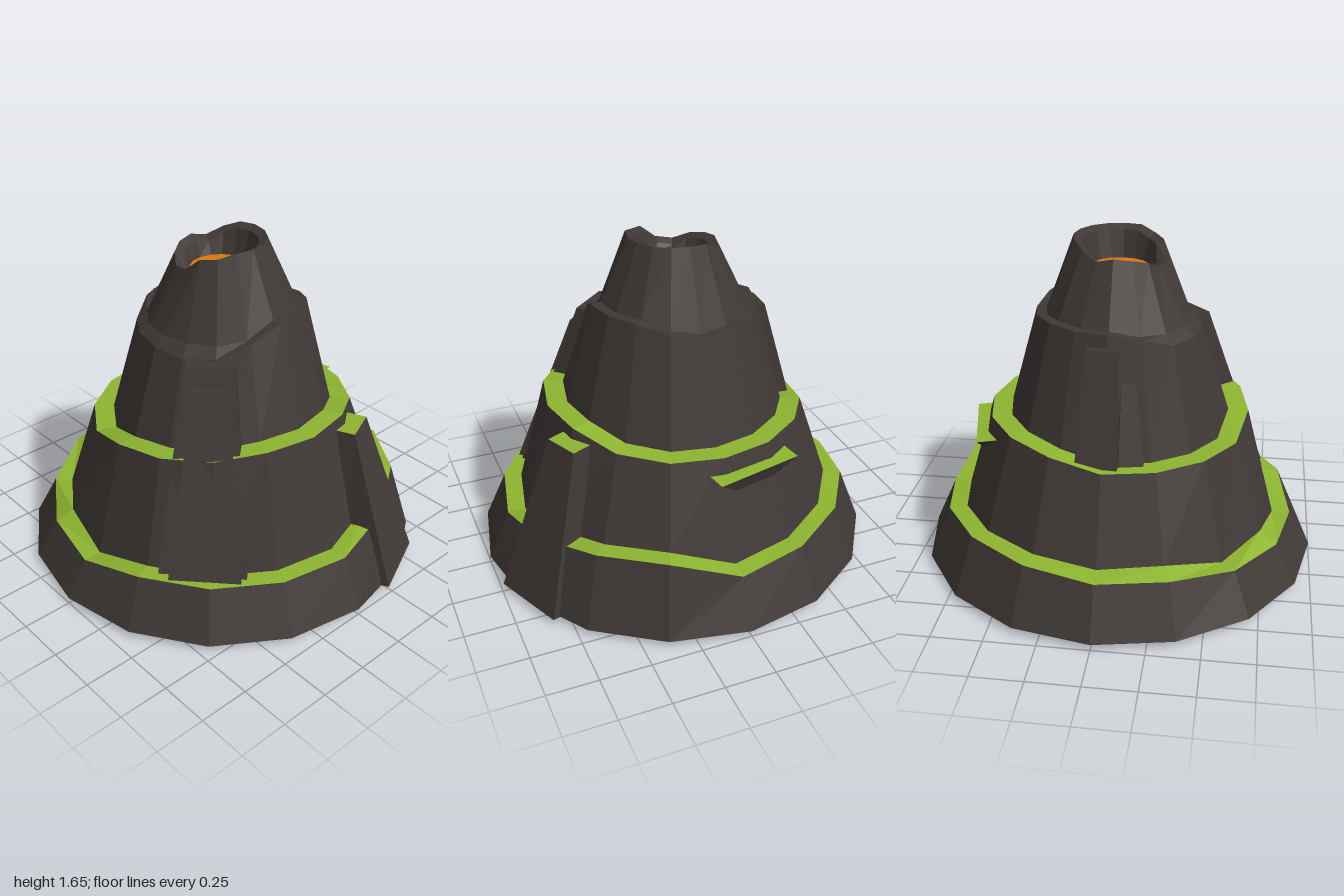
import * as THREE from 'three';

const SIDES = 16;
const rock = new THREE.MeshStandardMaterial({ color: 0x3f3936, flatShading: true });
const grass = new THREE.MeshStandardMaterial({ color: 0x8db530, flatShading: true });
const lava = new THREE.MeshStandardMaterial({ color: 0xd9770f, flatShading: true });

// A ring of points; heights is one number or one per side, starting at +x and turning towards +z
function ring(radius, heights) {
  return Array.from({ length: SIDES }, (_, i) => {
    const a = (i / SIDES) * Math.PI * 2;
    return [radius * Math.cos(a), Array.isArray(heights) ? heights[i] : heights, radius * Math.sin(a)];
  });
}

// Faceted band joining two rings
function band(name, from, to, material) {
  const points = [];
  for (let i = 0; i < SIDES; i++) {
    const j = (i + 1) % SIDES;
    points.push(...from[i], ...to[i], ...from[j], ...from[j], ...to[i], ...to[j]);
  }
  const geometry = new THREE.BufferGeometry();
  geometry.setAttribute('position', new THREE.Float32BufferAttribute(points, 3));
  geometry.computeVertexNormals();
  const mesh = new THREE.Mesh(geometry, material);
  mesh.name = name;
  return mesh;
}

// Tapered slab leaning on the cone; bottom and top are [inner, outer] pairs of [radius, y]
function slab(name, degrees, bottom, top, bottomWidth, topWidth, topMaterial = rock) {
  const geometry = new THREE.BoxGeometry(1, 1, 1);
  const p = geometry.attributes.position;
  for (let i = 0; i < p.count; i++) {
    const isTop = p.getY(i) > 0;
    const [r, y] = (isTop ? top : bottom)[p.getZ(i) > 0 ? 1 : 0];
    p.setXYZ(i, p.getX(i) * (isTop ? topWidth : bottomWidth), y, r);
  }
  geometry.computeVertexNormals();
  const mesh = new THREE.Mesh(geometry, [rock, rock, topMaterial, rock, rock, rock]);
  mesh.name = name;
  mesh.rotation.y = THREE.MathUtils.degToRad(degrees);
  return mesh;
}

export function createModel() {
  const model = new THREE.Group();
  model.name = 'volcano';

  // Uneven rim heights of the four stacked tiers
  const rim1 = [.28, .28, .28, .28, .21, .22, .24, .28, .28, .31, .32, .30, .27, .39, .39, .34];
  const foot2 = [.28, .28, .28, .28, .21, .27, .24, .31, .30, .32, .32, .30, .28, .39, .39, .35];
  const rim2 = [.85, .85, .82, .80, .78, .715, .715, .715, .715, .76, .78, .78, .78, .78, .80, .85];
  const rim3 = [1.35, 1.28, 1.22, 1.20, 1.215, 1.22, 1.22, 1.27, 1.30, 1.30, 1.30, 1.29, 1.28, 1.31, 1.35, 1.35];
  const foot4 = rim3.map((y) => Math.max(y, 1.26));
  const rim4 = [1.655, 1.655, 1.63, 1.62, 1.55, 1.535, 1.57, 1.59, 1.60, 1.58, 1.62, 1.65, 1.655, 1.655, 1.655, 1.655];

  // Tiers with grassy ledges between them, crater and lava pool
  const profile = [
    ['underside', ring(0, .03), rock],
    ['baseTier', ring(1, .03), rock],
    ['lowerGrassLedge', ring(.89, rim1), grass],
    ['lowerTier', ring(.8, foot2), rock],
    ['upperGrassLedge', ring(.65, rim2), grass],
    ['upperTier', ring(.55, rim2), rock],
    ['rockLedge', ring(.41, rim3), rock],
    ['summitTier', ring(.36, foot4), rock],
    ['craterRim', ring(.22, rim4), rock],
    ['craterWall', ring(.18, rim4.map((y) => y - .02)), rock],
    ['lavaPool', ring(.15, 1.5), lava],
  ];
  profile.forEach(([name, from, material], i) => {
    const to = i + 1 < profile.length ? profile[i + 1][1] : ring(0, 1.5);
    model.add(band(name, from, to, material));
  });

  // Buttresses and outcrops
  model.add(
    slab('frontButtress', 42, [[.57, 0], [.88, .07]], [[.36, 1.21], [.47, 1.21]], .46, .23),
    slab('frontButtressFace', 43, [[.6, .05], [.91, .1]], [[.4, 1.12], [.53, 1.12]], .38, .16),
    slab('sideButtress', 114, [[.72, 0], [1, .03]], [[.58, .8], [.74, .8]], .38, .18, grass),
    slab('upperButtress', -93, [[.5, .7], [.61, .7]], [[.38, 1.24], [.46, 1.24]], .2, .15),
    slab('upperButtressRib', -77, [[.48, .68], [.58, .7]], [[.38, 1.08], [.46, 1.08]], .12, .07),
    slab('backOutcrop', -167, [[.55, .6], [.69, .62]], [[.5, .715], [.72, .7]], .22, .45, grass),
  );
  return model;
}
